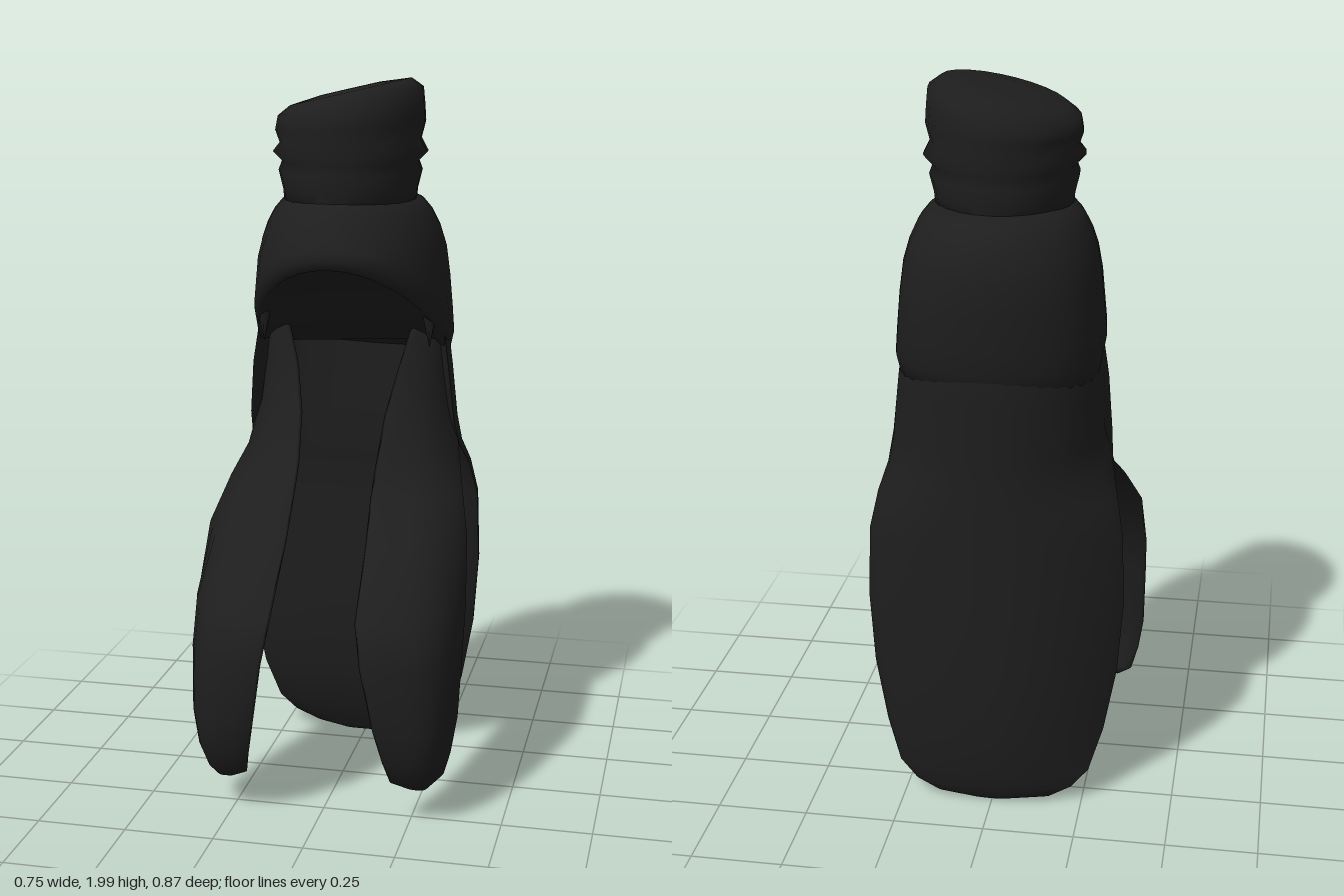
import * as THREE from 'three';

const charcoal = new THREE.MeshStandardMaterial({ color: 0x1e1e1e, side: THREE.DoubleSide });
charcoal.name = 'charcoal cloth';

// Skin a stack of closed loops (ordered bottom to top, front towards +x) and close both ends
function loft(name, rows) {
  const n = rows[0].length, pos = rows.flat(2), idx = [];
  for (let i = 0; i < rows.length - 1; i++) {
    for (let j = 0; j < n; j++) {
      const a = i * n + j, b = i * n + (j + 1) % n;
      idx.push(a, b, b + n, a, b + n, a + n);
    }
  }
  const top = (rows.length - 1) * n;
  for (let k = 0; k < n / 2 - 1; k++) {
    const a = k, b = k + 1, c = n - 2 - k, d = n - 1 - k;
    idx.push(a, c, b, a, d, c);
    idx.push(top + a, top + b, top + c, top + a, top + c, top + d);
  }
  const geo = new THREE.BufferGeometry();
  geo.setAttribute('position', new THREE.Float32BufferAttribute(pos, 3));
  geo.setIndex(idx);
  geo.computeVertexNormals();
  const mesh = new THREE.Mesh(geo, charcoal);
  mesh.name = name;
  return mesh;
}

const ring = (n, f) => Array.from({ length: n }, (_, i) => f((i / n) * Math.PI * 2));
const clamp01 = (v) => Math.min(1, Math.max(0, v));

// Folded cap: y, x radius, z radius, sideways tilt
function cap() {
  const rows = [
    [1.65, 0.18, 0.21, 0], [1.7, 0.185, 0.21, 0], [1.75, 0.197, 0.228, 0],
    [1.775, 0.188, 0.212, 0], [1.8, 0.213, 0.237, 0], [1.83, 0.194, 0.217, 0.03],
    [1.87, 0.205, 0.24, 0.06], [1.9, 0.203, 0.222, 0.13], [1.935, 0.198, 0.225, 0.2],
    [1.96, 0.165, 0.185, 0.23], [1.968, 0.08, 0.1, 0.23],
  ];
  return loft('foldedCap', rows.map(([y, rx, rz, t]) => ring(24, (a) => {
    const x = rx * Math.sin(a);
    return [x, y + t * x, -0.1 + rz * Math.cos(a)];
  })));
}

// Hood whose underside slopes from the brow down to the body, squarer at the back
function hood() {
  const rimY = (a) => Math.max(1.22, 1.51 - (0.32 - 0.32 * Math.cos(a)) * 0.78);
  const at = (a, y, s) => {
    const c = Math.cos(a), front = Math.max(0, c);
    const q = clamp01((y - 1.5 - 0.04 * front) / (0.18 - 0.04 * front));
    const round = Math.sqrt(1 - q * q);
    const k = s * (0.68 + 0.32 * (round + (1 - q - round) * 0.6 * front));
    const depth = c < 0 ? -Math.pow(-c, 0.65 + 0.35 * q) * (1 - 0.3 * Math.max(0, 1.45 - y)) : c;
    return [0.28 * k * (1 - 0.35 * Math.max(0, y - 1.3)) * Math.sin(a), y, -0.12 + 0.32 * k * depth];
  };
  const row = (f, s) => ring(36, (a) => at(a, rimY(a) + (1.68 - rimY(a)) * f, s));
  return loft('hood', [
    row(0.05, 0.85), row(0, 0.95), row(0.15, 1),
    ...[0.3, 0.5, 0.68, 0.8, 0.9, 0.97, 1].map((f) => row(f, 1)),
  ]);
}

// Body running down into a long back panel: y, half width, back z, side edge z, front z
function backPanel() {
  const rows = [
    [0.003, 0.07, -0.345, -0.33, -0.32], [0.02, 0.16, -0.36, -0.335, -0.31],
    [0.05, 0.22, -0.372, -0.325, -0.295], [0.1, 0.267, -0.385, -0.31, -0.27],
    [0.22, 0.305, -0.405, -0.28, -0.23], [0.4, 0.338, -0.412, -0.268, -0.22],
    [0.6, 0.352, -0.412, -0.262, -0.225], [0.8, 0.345, -0.41, -0.26, -0.235],
    [0.9, 0.325, -0.41, -0.225, -0.225], [0.97, 0.305, -0.41, -0.16, -0.22],
    [1.05, 0.296, -0.41, -0.11, -0.22], [1.2, 0.282, -0.418, -0.09, -0.22],
    [1.32, 0.265, -0.42, -0.1, -0.22], [1.42, 0.23, -0.4, -0.1, -0.22],
  ];
  const n = 21;
  return loft('backPanel', rows.map(([y, w, zb, ze, zf]) => {
    const skew = clamp01((1.15 - y) / 0.4);
    const curve = (depth) => Array.from({ length: n }, (_, i) => {
      const p = Math.PI * (0.5 - i / (n - 1));
      return [w * Math.sin(p), y, depth(Math.sin(p), Math.max(0, Math.cos(p)))];
    });
    const back = curve((s, c) => ze + (zb - ze) * Math.pow(c, s > 0 ? 0.68 : 0.68 + 1.2 * skew));
    const front = curve((s) => zf + (ze - zf) * Math.pow(Math.abs(s), 6));
    return [...back, ...front.reverse()];
  }));
}

// Front lappet: y, inner edge x z, outer edge x z, bulge
function lappet(name, side) {
  const rows = [
    [0.1, 0.25, 0.285, 0.3, 0.25, 0.02], [0.13, 0.205, 0.32, 0.335, 0.23, 0.045],
    [0.2, 0.19, 0.355, 0.355, 0.24, 0.06], [0.3, 0.17, 0.385, 0.37, 0.22, 0.075],
    [0.48, 0.14, 0.41, 0.375, 0.18, 0.085], [0.6, 0.12, 0.38, 0.377, 0.15, 0.085],
    [0.77, 0.115, 0.225, 0.367, 0.08, 0.065], [0.88, 0.113, 0.145, 0.335, -0.03, 0.055],
    [0.95, 0.115, 0.085, 0.31, -0.13, 0.045], [1.08, 0.125, 0.005, 0.285, -0.19, 0.04],
    [1.2, 0.15, -0.06, 0.272, -0.2, 0.03], [1.34, 0.19, -0.09, 0.25, -0.2, 0.02],
  ];
  const n = 9;
  return loft(name, rows.map(([y, ix, iz, ox, oz, b]) => {
    const len = Math.hypot(ox - ix, oz - iz);
    const nx = (iz - oz) / len, nz = (ox - ix) / len;
    const shift = side < 0 && y < 0.65 ? 0.018 : 0;
    const curve = (h, lift) => Array.from({ length: n }, (_, i) => {
      const s = i / (n - 1), d = h * Math.sin(Math.PI * s) + lift;
      return [side * (ix + (ox - ix) * s + nx * d), y, iz + shift + (oz - iz) * s + nz * d];
    });
    const loop = [...curve(b, 0), ...curve(-0.015, -0.01).reverse()];
    return side > 0 ? loop : loop.reverse();
  }));
}

// Small ragged point hanging from the rim
function rimPoint(name, side) {
  const geo = new THREE.ConeGeometry(0.025, 0.11, 6);
  geo.rotateX(Math.PI);
  const mesh = new THREE.Mesh(geo, charcoal);
  mesh.name = name;
  mesh.position.set(side * 0.235, 1.325, -0.04);
  return mesh;
}

export function createModel() {
  const group = new THREE.Group();
  group.name = 'hoodedMantle';
  group.add(
    cap(), hood(), backPanel(),
    lappet('leftLappet', 1), lappet('rightLappet', -1),
    rimPoint('leftRimPoint', 1), rimPoint('rightRimPoint', -1),
  );
  return group;
}
